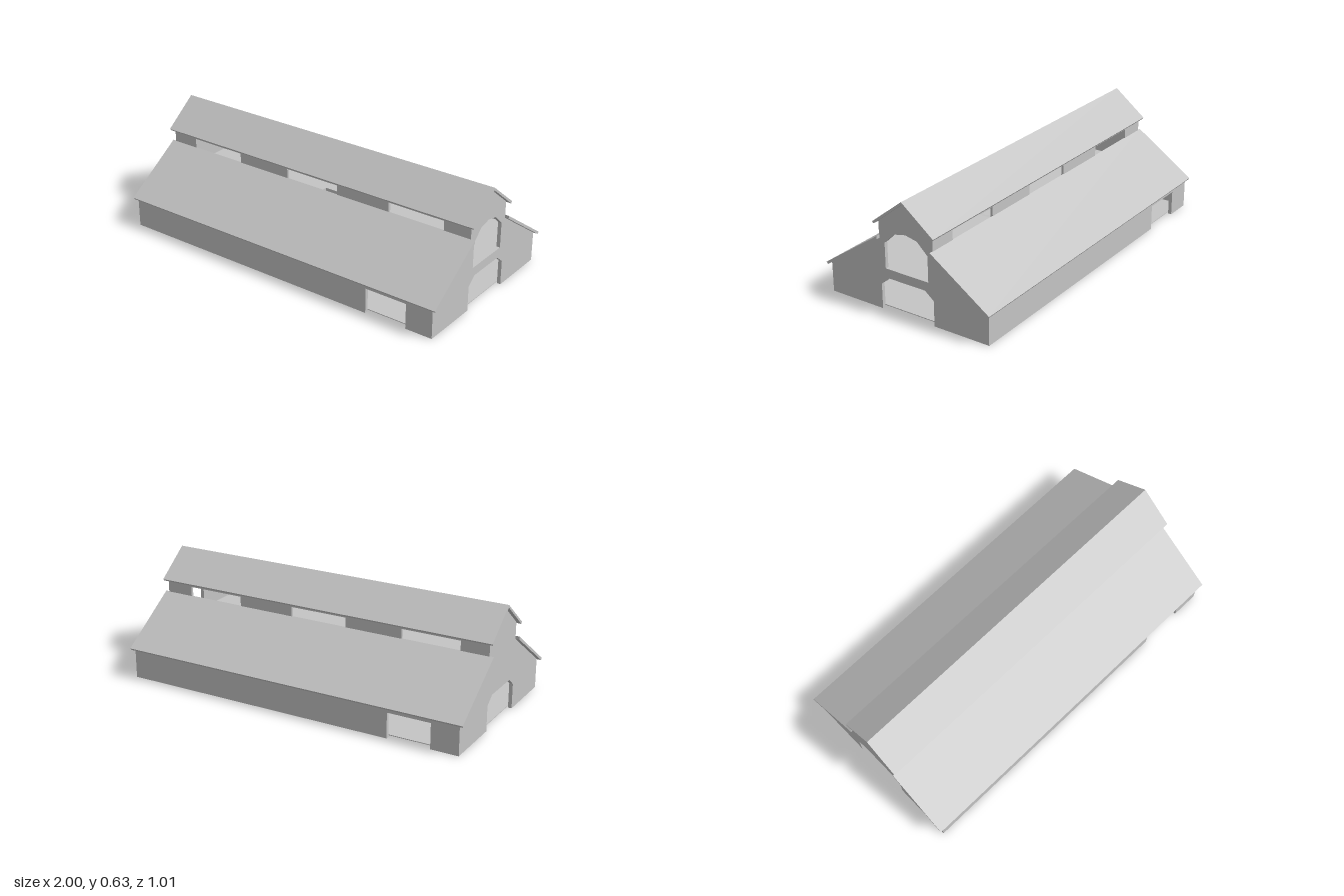
import * as THREE from 'three';

const WALL = 0.02;      // wall thickness
const HALF = 0.978;     // half length of the walls

const shapeOf = (pts) => new THREE.Shape(pts.map(([a, b]) => new THREE.Vector2(a, b)));

// Mirror a half outline (u >= 0) to a full closed one
const mirrored = (half) => [
  ...half,
  ...half.filter(([u]) => u > 0).reverse().map(([u, v]) => [-u, v]),
];

const extrude = (shape, depth) =>
  new THREE.ExtrudeGeometry(shape, { depth, bevelEnabled: false, steps: 1 });

// Extrude a (z, y) cross-section along x, from x0 to x1
function alongX(shape, x0, x1) {
  return extrude(shape, x1 - x0).rotateY(-Math.PI / 2).translate(x1, 0, 0);
}

export function createModel() {
  const barn = new THREE.Group();
  barn.name = 'barn';
  const grey = new THREE.MeshStandardMaterial({ color: 0xc4c4c4 });
  grey.name = 'plain grey';

  const add = (name, geometry, parent = barn) => {
    const mesh = new THREE.Mesh(geometry, grey);
    mesh.name = name;
    parent.add(mesh);
    return mesh;
  };

  // Gable ends, with a bevelled doorway cut in from the ground
  const gable = () => shapeOf(mirrored([
    [0, 0.18], [0.11, 0.18], [0.162, 0.138], [0.162, 0], [0.488, 0],
    [0.488, 0.167], [0.165, 0.389], [0.165, 0.482], [0, 0.611],
  ]));
  const loftGable = gable();
  loftGable.holes.push(shapeOf(mirrored([
    [0, 0.445], [0.07, 0.43], [0.132, 0.37], [0.132, 0.23],
  ])));
  add('leftGable', alongX(loftGable, HALF - WALL, HALF));
  add('rightGable', alongX(gable(), -HALF, -HALF + WALL));

  // Each long side: low wall, lower roof and window wall; the back is the front turned round
  for (const [name, turn] of [['front', 0], ['back', Math.PI]]) {
    const side = new THREE.Group();
    side.name = name + 'Side';
    side.rotation.y = turn;
    barn.add(side);

    const end = HALF - WALL;
    const lowWall = shapeOf([
      [-end, 0], [0.585, 0], [0.585, 0.14], [0.825, 0.14], [0.825, 0],
      [end, 0], [end, 0.167], [-end, 0.167],
    ]);
    add(name + 'Wall', extrude(lowWall, WALL).translate(0, 0, 0.488 - WALL), side);

    add(name + 'LowerRoof', alongX(shapeOf([
      [0.163, 0.388], [0.497, 0.159], [0.505, 0.17], [0.163, 0.405],
    ]), -1, 1), side);

    const upperWall = shapeOf([[-end, 0.37], [end, 0.37], [end, 0.48], [-end, 0.48]]);
    for (const x of [-0.657, 0, 0.657]) {
      upperWall.holes.push(shapeOf([
        [x - 0.165, 0.395], [x + 0.165, 0.395], [x + 0.165, 0.457], [x - 0.165, 0.457],
      ]));
    }
    add(name + 'WindowWall', extrude(upperWall, 0.015).translate(0, 0, 0.15), side);
  }

  // Raised ridge roof
  add('ridgeRoof', alongX(shapeOf(mirrored([
    [0, 0.611], [0.178, 0.469], [0.186, 0.479], [0, 0.626],
  ])), -1, 1));

  // Ground floor
  add('groundFloor', new THREE.BoxGeometry(1.916, 0.004, 0.936).translate(0, 0.012, 0));

  // Loft floor with an opening over the ramp
  const loft = shapeOf([[-0.958, -0.4], [0.958, -0.4], [0.958, 0.4], [-0.958, 0.4]]);
  loft.holes.push(shapeOf([[-0.15, -0.156], [0.2, -0.156], [0.2, 0.156], [-0.15, 0.156]]));
  add('loftFloor', extrude(loft, 0.02).rotateX(-Math.PI / 2).translate(0, 0.205, 0));

  // Ramp up to the loft
  const ramp = shapeOf([[-0.29, 0.002], [-0.235, 0.002], [0.2, 0.2], [0.2, 0.224]]);
  add('loftRamp', extrude(ramp, 0.312).translate(0, 0, -0.156));

  return barn;
}
